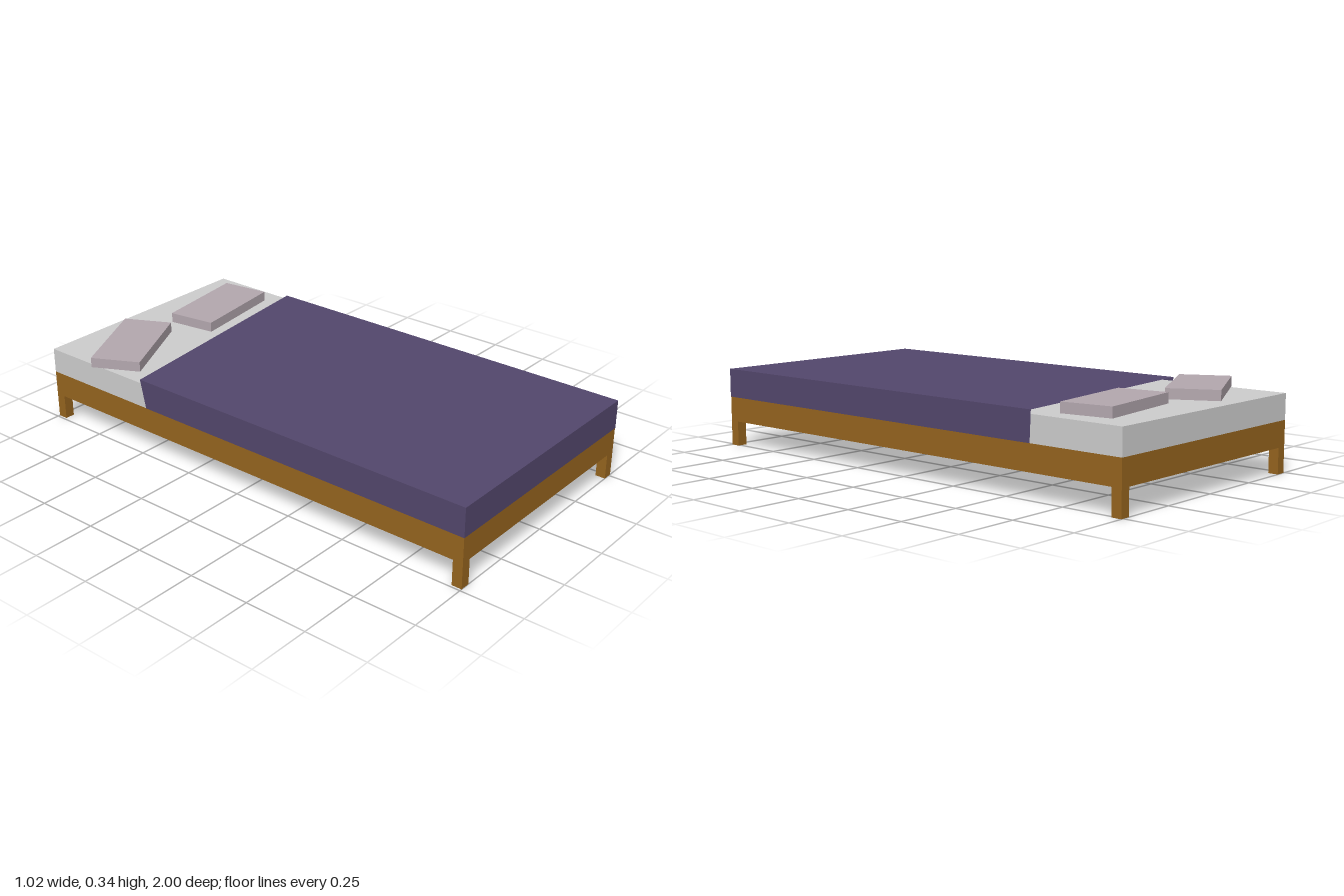
import * as THREE from 'three';

const CX = 0.01, W = 1, L = 2;
const mat = (color, extra = {}) => new THREE.MeshStandardMaterial({ color, flatShading: true, ...extra });

export function createModel() {
  const bed = new THREE.Group();
  bed.name = 'bed';
  const wood = mat(0x94631e), linen = mat(0xcccccc), pillowCloth = mat(0xb2a6ad);
  const blanketCloth = mat(0x52466b, { side: THREE.DoubleSide });

  // box standing on height y
  function box(name, material, [w, h, d], [x, y, z], turn = 0) {
    const mesh = new THREE.Mesh(new THREE.BoxGeometry(w, h, d), material);
    mesh.name = name;
    mesh.position.set(x, y + h / 2, z);
    mesh.rotation.y = turn;
    bed.add(mesh);
  }

  // wooden frame on four square legs
  box('frame', wood, [W, 0.1, L], [CX, 0.1, 0]);
  const leg = 0.04;
  for (const sx of [-1, 1]) for (const sz of [-1, 1])
    box(`${sz > 0 ? 'front' : 'back'}${sx > 0 ? 'Left' : 'Right'}Leg`, wood, [leg, 0.1, leg],
      [CX + sx * (W - leg) / 2, 0, sz * (L - leg) / 2]);

  // mattress and two carelessly placed pillows
  box('mattress', linen, [W, 0.1, L], [CX, 0.2, 0]);
  box('rightPillow', pillowCloth, [0.4, 0.04, 0.2], [-0.287, 0.3, -0.755], 0.476);
  box('leftPillow', pillowCloth, [0.4, 0.04, 0.2], [0.223, 0.3, -0.755], 0.14);

  // blanket: open sheet over the top, both sides and the foot, with a skewed head edge
  const e = 0.001, x0 = CX - W / 2 - e, x1 = CX + W / 2 + e, z1 = L / 2 + e, lo = 0.2, hi = 0.315;
  const points = [
    x0, hi, -0.5, x0, hi, z1, x1, hi, z1, x1, hi, -0.62,
    x0, lo, -0.475, x0, lo, z1, x1, lo, z1, x1, lo, -0.615,
  ];
  const quads = [[0, 1, 2, 3], [4, 5, 1, 0], [5, 6, 2, 1], [6, 7, 3, 2]];
  let geo = new THREE.BufferGeometry();
  geo.setAttribute('position', new THREE.Float32BufferAttribute(points, 3));
  geo.setIndex(quads.flatMap(([a, b, c, d]) => [a, b, c, a, c, d]));
  geo = geo.toNonIndexed();
  geo.computeVertexNormals();
  const blanket = new THREE.Mesh(geo, blanketCloth);
  blanket.name = 'blanket';
  bed.add(blanket);

  return bed;
}
